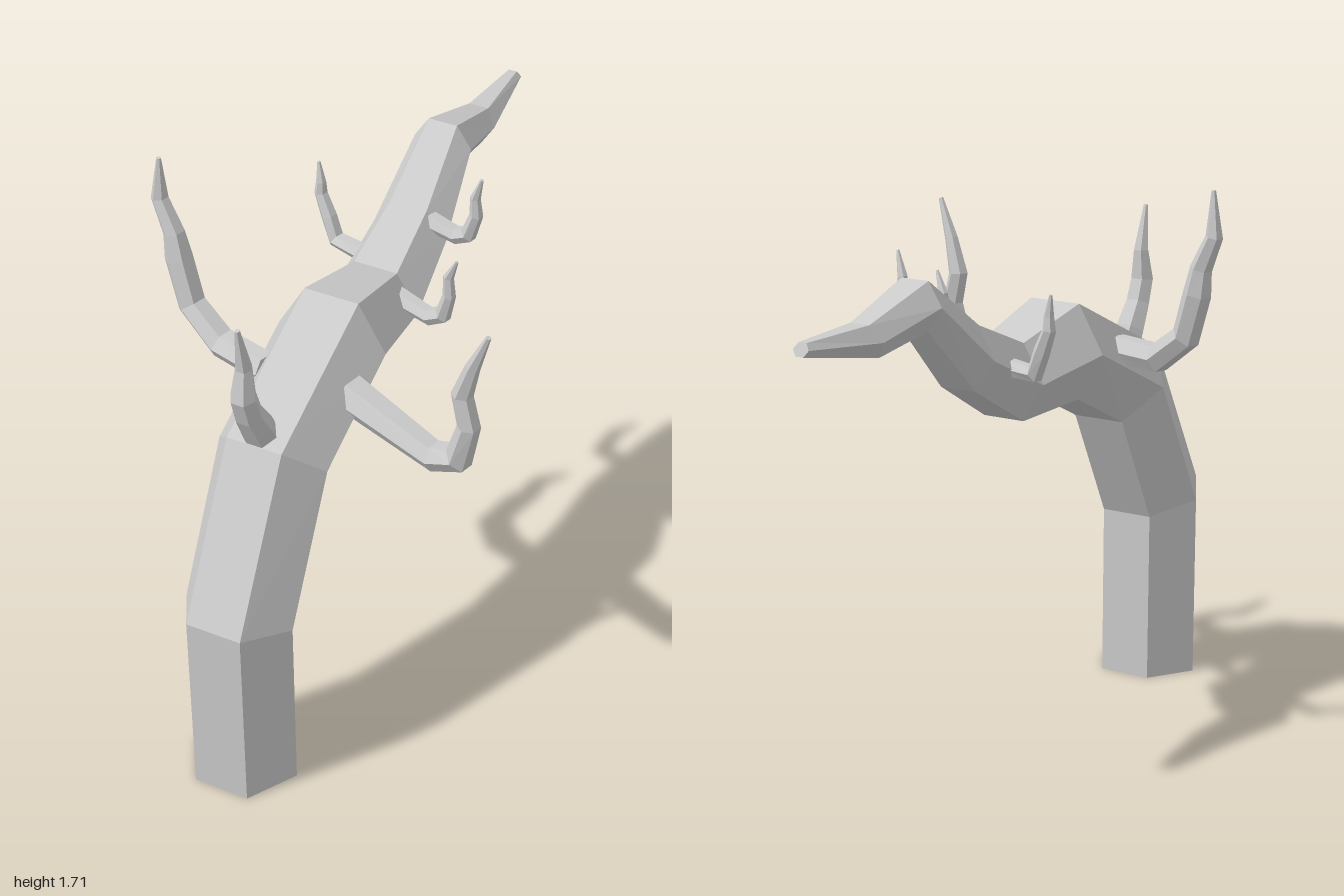
import * as THREE from 'three';

const SIDES = 6;
const V = (x, y, z) => new THREE.Vector3(x, y, z);

// Skin a list of hexagonal rings { c: centre, u: up half-axis, s: side half-axis } and cap both ends.
function skin(rings, name) {
  const pos = [], idx = [];
  for (const { c, u, s } of rings) {
    for (let j = 0; j < SIDES; j++) {
      const a = (j / SIDES) * Math.PI * 2;
      const p = c.clone().addScaledVector(s, Math.cos(a)).addScaledVector(u, Math.sin(a));
      pos.push(p.x, p.y, p.z);
    }
  }
  const last = (rings.length - 1) * SIDES;
  for (let i = 0; i < last; i += SIDES) {
    for (let j = 0; j < SIDES; j++) {
      const k = (j + 1) % SIDES;
      const a = i + j, b = i + k, c = a + SIDES, d = b + SIDES;
      idx.push(a, c, b, b, c, d);
    }
  }
  for (let j = 1; j < SIDES - 1; j++) {
    idx.push(0, j, j + 1, last, last + j + 1, last + j);
  }
  const geo = new THREE.BufferGeometry();
  geo.setAttribute('position', new THREE.Float32BufferAttribute(pos, 3));
  geo.setIndex(idx);
  const flat = geo.toNonIndexed();
  flat.computeVertexNormals();
  const mesh = new THREE.Mesh(flat, new THREE.MeshStandardMaterial({ color: 0xcccccc, flatShading: true }));
  mesh.name = name;
  return mesh;
}

// Trunk rings come from the upper and lower edge of its bent profile plus a half width.
function makeTrunk() {
  const profile = [ // upper z, y, lower z, y, half width
    [1.0, 0, 0.7, 0, 0.175],
    [1.0, 0.63, 0.7, 0.555, 0.175],
    [0.73, 1.12, 0.52, 0.91, 0.175],
    [0.26, 1.335, 0.26, 1.035, 0.175],
    [-0.02, 1.26, -0.02, 1.02, 0.142],
    [-0.24, 1.35, -0.26, 1.155, 0.122],
    [-0.47, 1.515, -0.475, 1.37, 0.095],
    [-0.73, 1.43, -0.685, 1.33, 0.065],
    [-0.985, 1.422, -1.0, 1.385, 0.027],
  ];
  const rings = profile.map(([z1, y1, z2, y2, w]) => ({
    c: V(-0.043, (y1 + y2) / 2, (z1 + z2) / 2),
    // the flats of a hexagon sit at sin(60°) of its radius
    u: V(0, y1 - y2, z1 - z2).multiplyScalar(0.5 / Math.sin(Math.PI / 3)),
    s: V(w, 0, 0),
  }));
  return skin(rings, 'trunk');
}

// Branch: points [x, y, z, radius] lying roughly in one vertical plane.
function makeBranch(points, name) {
  const c = points.map(([x, y, z]) => V(x, y, z));
  const n = c.length - 1;
  const side = c[n].clone().sub(c[0]).setY(0).normalize().cross(V(0, 1, 0));
  const dir = (i) => c[i + 1].clone().sub(c[i]).normalize();
  const rings = c.map((p, i) => {
    const t = dir(Math.max(i - 1, 0)).add(dir(Math.min(i, n - 1))).normalize();
    const r = points[i][3];
    return {
      c: p,
      u: side.clone().cross(t).normalize().multiplyScalar(r),
      s: side.clone().multiplyScalar(r),
    };
  });
  return skin(rings, name);
}

export function createModel() {
  const group = new THREE.Group();
  group.name = 'bareTree';
  group.add(makeTrunk());

  group.add(makeBranch([
    [-0.155, 1.165, 0.45, 0.048], [-0.33, 1.165, 0.4, 0.048], [-0.445, 1.25, 0.37, 0.045],
    [-0.49, 1.39, 0.355, 0.044], [-0.505, 1.47, 0.35, 0.034], [-0.553, 1.57, 0.34, 0.027],
    [-0.545, 1.708, 0.345, 0.007],
  ], 'rightBranch'));

  group.add(makeBranch([
    [0.09, 1.13, 0.405, 0.06], [0.395, 1.06, 0.475, 0.046], [0.48, 1.1, 0.495, 0.044],
    [0.513, 1.23, 0.505, 0.034], [0.488, 1.33, 0.5, 0.032], [0.522, 1.44, 0.51, 0.022],
    [0.572, 1.565, 0.523, 0.008],
  ], 'leftBranch'));

  group.add(makeBranch([
    [-0.043, 1.1, 0.67, 0.05], [-0.043, 1.17, 0.705, 0.05], [-0.043, 1.25, 0.752, 0.042],
    [-0.043, 1.325, 0.777, 0.04], [-0.043, 1.42, 0.768, 0.026], [-0.043, 1.563, 0.795, 0.008],
  ], 'frontBranch'));

  // Thin twigs further along the trunk
  group.add(makeBranch([
    [-0.13, 1.21, -0.13, 0.03], [-0.25, 1.21, -0.165, 0.028], [-0.28, 1.28, -0.175, 0.026],
    [-0.312, 1.35, -0.185, 0.021], [-0.31, 1.39, -0.184, 0.016], [-0.32, 1.455, -0.19, 0.005],
  ], 'rightTwig'));

  group.add(makeBranch([
    [0.04, 1.2, 0.005, 0.032], [0.165, 1.185, 0.035, 0.028], [0.213, 1.215, 0.048, 0.026],
    [0.235, 1.295, 0.055, 0.02], [0.232, 1.36, 0.055, 0.016], [0.262, 1.428, 0.065, 0.005],
  ], 'leftTwig'));

  group.add(makeBranch([
    [0.02, 1.31, -0.25, 0.032], [0.12, 1.295, -0.235, 0.028], [0.165, 1.32, -0.222, 0.026],
    [0.192, 1.4, -0.215, 0.021], [0.188, 1.46, -0.215, 0.016], [0.212, 1.535, -0.205, 0.005],
  ], 'leftOuterTwig'));

  return group;
}
